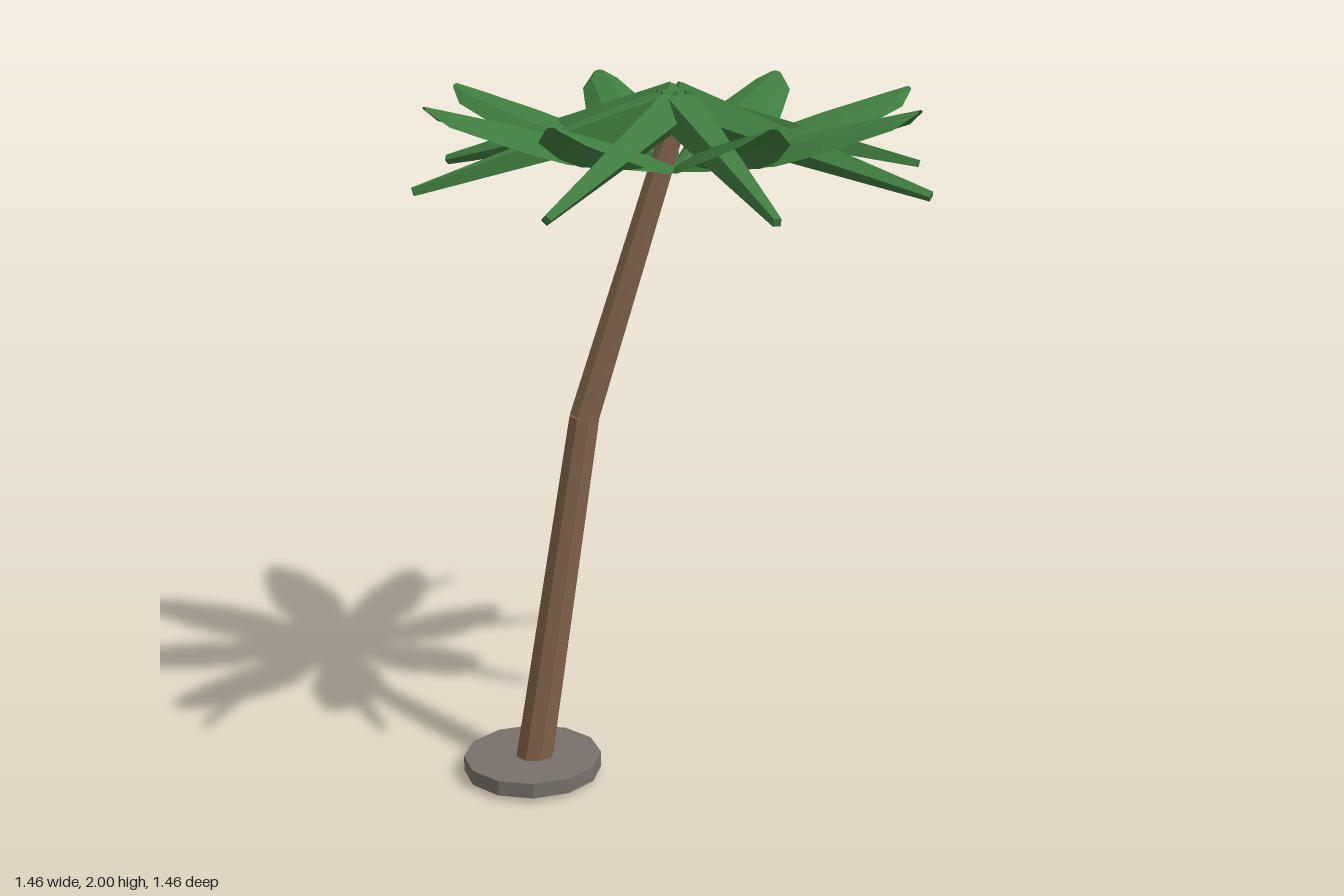
import * as THREE from 'three';

const leafGreen = new THREE.MeshStandardMaterial({ color: 0x3f7d3f, side: THREE.DoubleSide });
const barkBrown = new THREE.MeshStandardMaterial({ color: 0x80634a });
const stoneGrey = new THREE.MeshStandardMaterial({ color: 0x78706a });
leafGreen.name = 'leafGreen';
barkBrown.name = 'barkBrown';
stoneGrey.name = 'stoneGrey';

// Faceted mesh: every face gets its own normal
function faceted(name, geometry, material) {
  const flat = geometry.index ? geometry.toNonIndexed() : geometry;
  flat.computeVertexNormals();
  const mesh = new THREE.Mesh(flat, material);
  mesh.name = name;
  return mesh;
}

// Tapered prism running from point a to point b
function taperedBeam(name, a, b, ra, rb, sides, material, roll = 0) {
  const dir = b.clone().sub(a);
  const geo = new THREE.CylinderGeometry(rb, ra, dir.length(), sides);
  geo.rotateY(roll);
  const mesh = faceted(name, geo, material);
  mesh.position.copy(a).add(b).multiplyScalar(0.5);
  mesh.quaternion.setFromUnitVectors(new THREE.Vector3(0, 1, 0), dir.normalize());
  return mesh;
}

// Broad upturned leaf along +x: arched cross-sections joined in strips
function broadLeafGeometry() {
  // distance out, half width, ridge height, edge height
  const sections = [
    [0.00, 0.02, 1.77, 1.76],
    [0.10, 0.05, 1.80, 1.77],
    [0.34, 0.114, 1.872, 1.81],
    [0.46, 0.11, 1.905, 1.848],
    [0.64, 0.067, 1.95, 1.915],
    [0.69, 0.018, 1.962, 1.955],
  ];
  const across = [[-1, 1], [-0.6, 0.25], [0, 0], [0.6, 0.25], [1, 1]];
  const points = [];
  const index = [];
  sections.forEach(([r, w, top, edge], i) => {
    across.forEach(([side, drop], j) => {
      points.push(r, top + (edge - top) * drop, side * w);
      if (i && j) {
        const d = i * 5 + j, c = d - 1, b = d - 5, a = b - 1;
        index.push(a, b, d, a, d, c);
      }
    });
  });
  const geo = new THREE.BufferGeometry();
  geo.setAttribute('position', new THREE.Float32BufferAttribute(points, 3));
  geo.setIndex(index);
  return geo;
}

export function createModel() {
  const model = new THREE.Group();
  model.name = 'palmTree';

  // Round stone base
  const base = faceted('stoneBase', new THREE.CylinderGeometry(0.2, 0.2, 0.045, 12), stoneGrey);
  base.position.set(-0.35, 0.037, 0.24);
  model.add(base);

  // Leaning trunk with one bend
  const foot = new THREE.Vector3(-0.351, 0.009, 0.24);
  const bend = new THREE.Vector3(-0.216, 1.075, 0.142);
  const crownBase = new THREE.Vector3(-0.005, 1.88, 0.005);
  model.add(taperedBeam('lowerTrunk', foot, bend, 0.056, 0.044, 8, barkBrown));
  model.add(taperedBeam('upperTrunk', bend, crownBase, 0.044, 0.034, 8, barkBrown));

  // Crown: eight upturned leaves crossed by eight drooping four-sided spikes
  const crown = new THREE.Group();
  crown.name = 'crown';
  const leaf = broadLeafGeometry();
  for (let i = 0; i < 8; i++) {
    const frond = new THREE.Group();
    frond.name = 'frond';
    frond.rotation.y = (i * Math.PI) / 4;
    frond.add(faceted('broadLeaf', leaf, leafGreen));
    const roll = i % 2 ? Math.PI / 4 : 0;
    frond.add(taperedBeam('droopingSpike', new THREE.Vector3(0, 1.935, 0),
      new THREE.Vector3(0.727, 1.743, 0), 0.067, 0.014, 4, leafGreen, roll));
    crown.add(frond);
  }
  model.add(crown);
  return model;
}
